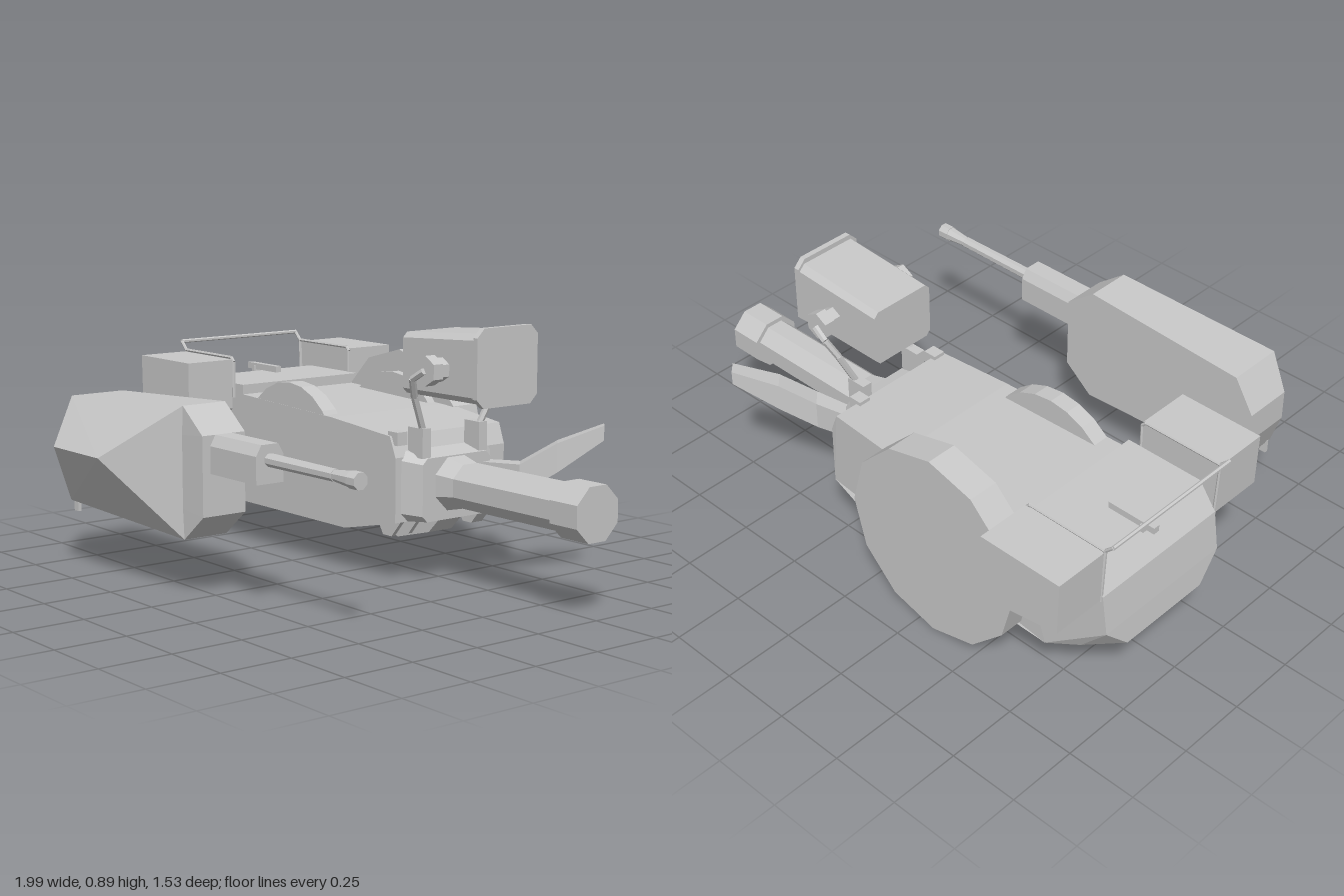
import * as THREE from 'three';
import { ConvexGeometry } from 'three/addons/geometries/ConvexGeometry.js';

export function createModel() {
  const root = new THREE.Group();
  const gray = new THREE.MeshStandardMaterial({ color: 0xc8c8c8 });
  gray.name = 'lightGray';
  const midZ = -0.3, gunZ = -0.245;

  // Flat-faced mesh
  const add = (name, geo) => {
    const g = geo.index ? geo.toNonIndexed() : geo;
    g.computeVertexNormals();
    const mesh = new THREE.Mesh(g, gray);
    mesh.name = name;
    root.add(mesh);
    return mesh;
  };
  const hull = (name, pts) => add(name, new ConvexGeometry(pts.map(p => new THREE.Vector3(...p))));
  const box = (name, x0, x1, y0, y1, z0, z1) =>
    add(name, new THREE.BoxGeometry(x1 - x0, y1 - y0, z1 - z0)
      .translate((x0 + x1) / 2, (y0 + y1) / 2, (z0 + z1) / 2));
  // Cylinder along x, r0 at x0 and r1 at x1
  const barrel = (name, x0, x1, r0, r1, y, z, sides = 8) =>
    add(name, new THREE.CylinderGeometry(r1, r0, x1 - x0, sides)
      .rotateY(Math.PI / sides).rotateZ(-Math.PI / 2).translate((x0 + x1) / 2, y, z));
  // Straight rod between two points
  const rod = (name, a, b, r) => {
    const p = new THREE.Vector3(...a), q = new THREE.Vector3(...b), d = q.clone().sub(p);
    const m = add(name, new THREE.CylinderGeometry(r, r, d.length(), 6));
    m.position.copy(p).add(q).multiplyScalar(0.5);
    m.quaternion.setFromUnitVectors(new THREE.Vector3(0, 1, 0), d.normalize());
  };
  const bentRod = (name, pts, r) => {
    for (let i = 1; i < pts.length; i++) rod(name, pts[i - 1], pts[i], r);
  };
  // Chamfered rectangle in the plane of constant x
  const chamfered = (x, y0, y1, z0, z1, c) => [
    [x, y0 + c, z0], [x, y1 - c, z0], [x, y1, z0 + c], [x, y1, z1 - c],
    [x, y1 - c, z1], [x, y0 + c, z1], [x, y0, z1 - c], [x, y0, z0 + c]];

  // Main body: side profile, narrowing at the far side towards the muzzle
  const outline = [[-0.73, 0.16], [0, 0.16], [0.27, 0.22], [0.27, 0.44], [0.24, 0.51],
    [-0.07, 0.535], [-0.6, 0.555], [-0.6, 0.59], [-0.73, 0.59]];
  const body = new THREE.ExtrudeGeometry(
    new THREE.Shape(outline.map(p => new THREE.Vector2(...p))), { depth: 0.53, bevelEnabled: false })
    .translate(0, 0, -0.57);
  const bp = body.attributes.position;
  for (let i = 0; i < bp.count; i++) {
    const x = bp.getX(i);
    if (bp.getZ(i) < midZ && x > -0.04) bp.setZ(i, -0.57 + 0.04 * (x + 0.05) / 0.3);
  }
  add('mainBody', body);

  // Rear of the body, with cut lower corners
  const rear = [[-0.73, 0.16, 0], [-0.73, 0.59, 0], [-0.89, 0.59, 0], [-0.955, 0.5, 0],
    [-0.975, 0.36, 0], [-0.86, 0.225, 0.02], [-0.985, 0.27, 0.09], [-0.95, 0.25, 0.09]];
  hull('bodyRear', rear.flatMap(([x, y, inset]) => [[x, y, -0.04 - inset], [x, y, -0.57 + inset]]));

  // Large side disc and the two arches on the body
  add('sideDisc', new THREE.CylinderGeometry(0.352, 0.352, 0.11, 12)
    .rotateX(Math.PI / 2).translate(-0.32, 0.357, -0.6));
  for (const z of [-0.071, -0.542])
    add('bodyArch', new THREE.CylinderGeometry(0.27, 0.27, 0.06, 12, 1, false, Math.PI / 2, Math.PI)
      .rotateX(Math.PI / 2).translate(-0.32, 0.36, z));

  // Front block and main barrel
  hull('frontBlock', [
    ...chamfered(0.26, 0.22, 0.46, -0.47, -0.06, 0.03),
    ...chamfered(0.34, 0.225, 0.44, -0.4, -0.1, 0.02)]);
  barrel('barrelBase', 0.33, 0.41, 0.1, 0.08, 0.345, gunZ);
  barrel('mainBarrel', 0.36, 0.89, 0.08, 0.08, 0.345, gunZ);
  barrel('barrelCollar', 0.88, 1, 0.097, 0.097, 0.345, gunZ);

  // Storage boxes, fins and rails, mirrored about the body
  for (const s of [1, -1]) {
    const z = d => midZ + s * d;
    const pts = [];
    for (const d of [0.275, 0.467]) pts.push(
      [-0.955, 0.68, z(d)], [-0.645, 0.68, z(d)], [-0.645, 0.5, z(d)],
      [-0.7, 0.45, z(d)], [-0.95, 0.49, z(d)]);
    hull('storageBox', pts);
    hull('boxFin', [-0.805, -0.795].flatMap(x =>
      [[x, 0.47, z(0.255)], [x, 0.47, z(0.4)], [x, 0.37, z(0.275)]]));
    bentRod('boxRail', [[-0.985, 0.715, z(0.268)], [-0.955, 0.685, z(0.268)],
      [-0.66, 0.685, z(0.268)], [-0.645, 0.67, z(0.268)], [-0.645, 0.54, z(0.268)]], 0.006);
    rod('railPost', [-0.955, 0.685, z(0.268)], [-0.945, 0.48, z(0.268)], 0.006);
  }
  rod('rearBar', [-0.985, 0.715, -0.57], [-0.985, 0.715, -0.03], 0.007);
  box('topRod', -0.95, -0.77, 0.595, 0.618, -0.337, -0.313);
  box('rodClip', -0.915, -0.9, 0.585, 0.61, -0.345, -0.305);

  // Separate side pod: a flat prism with a wedge on its outer face
  const pod = [[-0.735, 0.375], [-0.735, 0.485], [-0.66, 0.605], [-0.03, 0.64],
    [0.08, 0.555], [0.08, 0.29], [-0.03, 0.2], [-0.68, 0.235]];
  hull('sidePod', pod.flatMap(([x, y]) => [[x, y, 0.435], [x, y, x < -0.7 ? 0.615 : 0.6]]));
  hull('podWedge', [
    [-0.735, 0.375, 0.615], [-0.735, 0.485, 0.615], [-0.66, 0.605, 0.64], [-0.68, 0.235, 0.64],
    [-0.66, 0.605, 0.59], [-0.68, 0.235, 0.59], [-0.03, 0.64, 0.6], [-0.03, 0.2, 0.6],
    [-0.575, 0.45, 0.765], [-0.29, 0.45, 0.765]]);
  box('podTab', -0.685, -0.66, 0.195, 0.245, 0.612, 0.625);

  // Pod gun
  hull('podGunBox', [0.07, 0.33].flatMap(x => [[x, 0.43, 0.465], [x, 0.43, 0.57],
    [x, 0.52, 0.57], [x, 0.555, 0.55], [x, 0.555, 0.485], [x, 0.52, 0.465]]));
  barrel('podGunBarrel', 0.32, 0.66, 0.022, 0.02, 0.505, 0.517);
  barrel('podGunMuzzle', 0.64, 0.74, 0.016, 0.026, 0.505, 0.517);
  barrel('podGunTip', 0.74, 0.78, 0.028, 0.028, 0.505, 0.517);

  // Sensor housing with a front rim
  hull('sensorHousing', [
    ...chamfered(0.21, 0.645, 0.85, -0.37, -0.12, 0.018),
    ...chamfered(0.57, 0.645, 0.875, -0.372, -0.118, 0.022)]);
  hull('sensorRim', [0.565, 0.585].flatMap(x => chamfered(x, 0.633, 0.892, -0.377, -0.113, 0.03)));

  // Sensor pivots and support arms
  for (const s of [1, -1]) {
    const z = d => gunZ + s * d;
    rod('sensorPivot', [0.41, 0.745, z(0.11)], [0.41, 0.745, z(0.16)], 0.04);
    rod('pivotCap', [0.41, 0.745, z(0.16)], [0.41, 0.745, z(0.2)], 0.05);
    bentRod('sensorArm', [[0.41, 0.745, z(0.205)], [0.36, 0.715, z(0.21)],
      [0.335, 0.65, z(0.18)], [0.315, 0.53, z(0.125)]], 0.012);
    box('armPost', 0.26, 0.335, 0.44, 0.54, z(0.125) - 0.018, z(0.125) + 0.018);
    box('armBracket', 0.22, 0.27, 0.48, 0.525, z(0.175) - 0.022, z(0.175) + 0.022);
  }

  // Swept blade beside the barrel: x, z, lower y, upper y, half width
  const blade = [[0.28, -0.38, 0.31, 0.4, 0.02], [0.46, -0.425, 0.31, 0.41, 0.025],
    [0.55, -0.51, 0.385, 0.485, 0.024], [0.655, -0.622, 0.495, 0.545, 0.018]];
  for (let i = 1; i < blade.length; i++)
    hull('sweptBlade', [blade[i - 1], blade[i]].flatMap(([x, z, lo, hi, w]) => [
      [x - w, lo, z - w], [x + w, lo, z + w], [x - w, hi, z - w], [x + w, hi, z + w]]));

  // Tabs under the body
  for (const [z, w] of [[-0.115, 0.008], [-0.19, 0.008], [-0.495, 0.025]])
    hull('lowerTab', [z - w, z + w].flatMap(k =>
      [[0.1, 0.19, k], [0.23, 0.22, k], [0.17, 0.15, k], [0.125, 0.15, k]]));
  return root;
}
